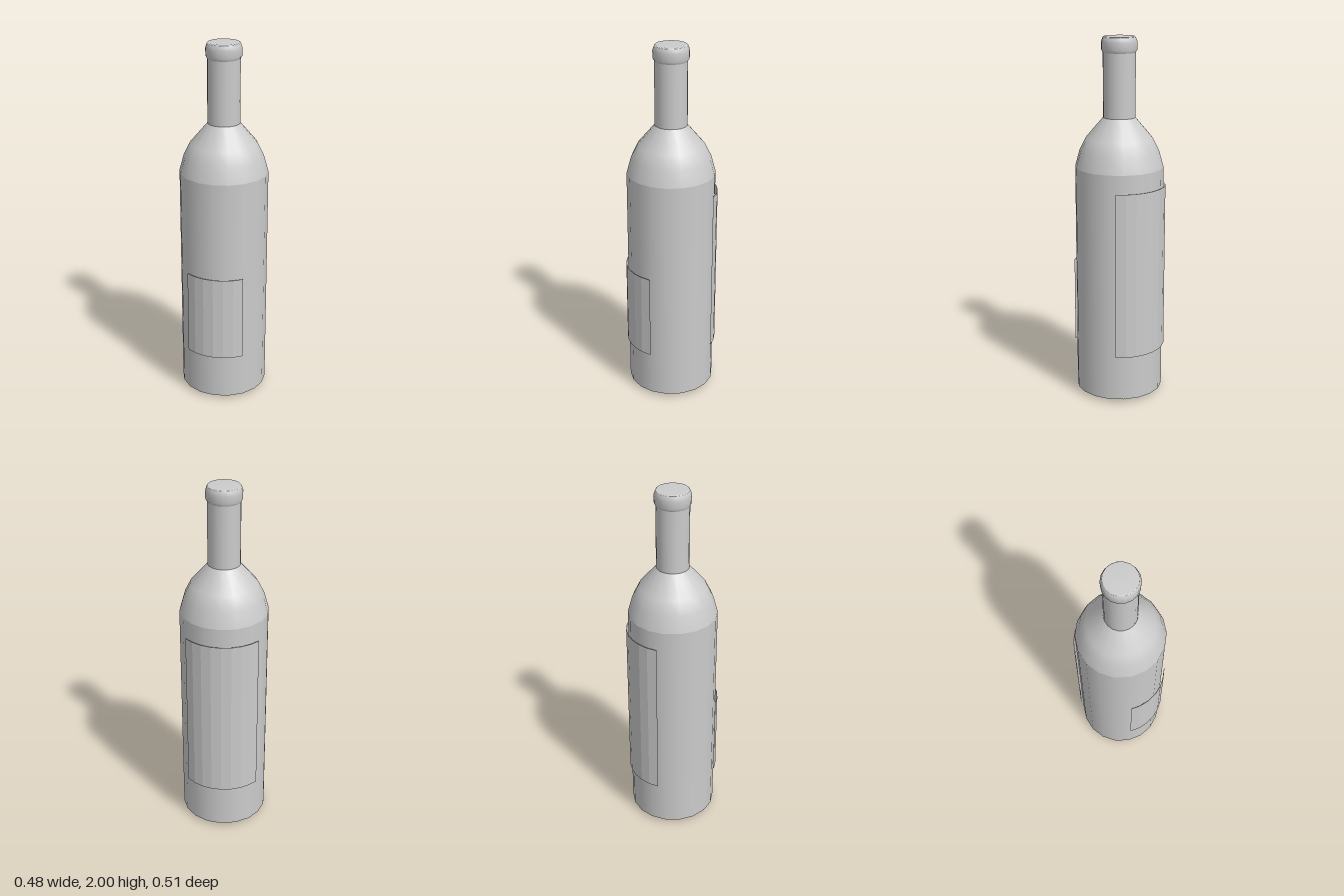
import * as THREE from 'three';

const glass = new THREE.MeshStandardMaterial({ color: 0xcccccc });
const paper = new THREE.MeshStandardMaterial({ color: 0xcccccc, side: THREE.DoubleSide });

// Revolve [radius, height] pairs about the bottle axis
function turned(name, profile, segments, material = glass, start = 0, sweep = Math.PI * 2) {
  const points = profile.map(([r, y]) => new THREE.Vector2(r, y));
  const mesh = new THREE.Mesh(new THREE.LatheGeometry(points, segments, start, sweep), material);
  mesh.name = name;
  return mesh;
}

// Thin curved sheet centred on the given angle (0 is the front)
function label(name, angle, halfAngle, bottom, top, segments) {
  const inner = 0.251, outer = 0.254;
  const profile = [[inner, bottom], [outer, bottom], [outer, top], [inner, top], [inner, bottom]];
  const mesh = turned(name, profile, segments, paper, angle - halfAngle, halfAngle * 2);
  // Sharp edges on the sheet
  mesh.geometry = mesh.geometry.toNonIndexed();
  mesh.geometry.computeVertexNormals();
  return mesh;
}

export function createModel() {
  const bottle = new THREE.Group();
  bottle.name = 'bottle';

  // Straight body and rounded shoulder
  bottle.add(turned('body', [[0.242, 0.02], [0.242, 0.6], [0.242, 1.2], [0.242, 1.3]], 18));
  bottle.add(turned('shoulder', [[0.242, 1.3], [0.217, 1.39], [0.182, 1.46], [0.088, 1.57]], 18));

  // Bevelled foot and hollow underside
  bottle.add(turned('foot', [[0.195, 0], [0.242, 0.02]], 18));
  bottle.add(turned('punt', [[0, 0.1], [0.08, 0.085], [0.15, 0.04], [0.195, 0]], 18));

  // Neck, lip ring and flat closed top
  bottle.add(turned('neck', [[0.088, 1.565], [0.088, 1.93]], 18));
  bottle.add(turned('lip', [[0.088, 1.915], [0.096, 1.93], [0.097, 1.97], [0.092, 1.985], [0.088, 1.995]], 18));
  bottle.add(turned('top', [[0.088, 1.995], [0.083, 2], [0, 2]], 18));

  // Short front label and tall back label
  bottle.add(label('frontLabel', 0, 0.666, 0.275, 0.755, 6));
  bottle.add(label('backLabel', Math.PI, 0.88, 0.275, 1.2, 8));

  return bottle;
}
